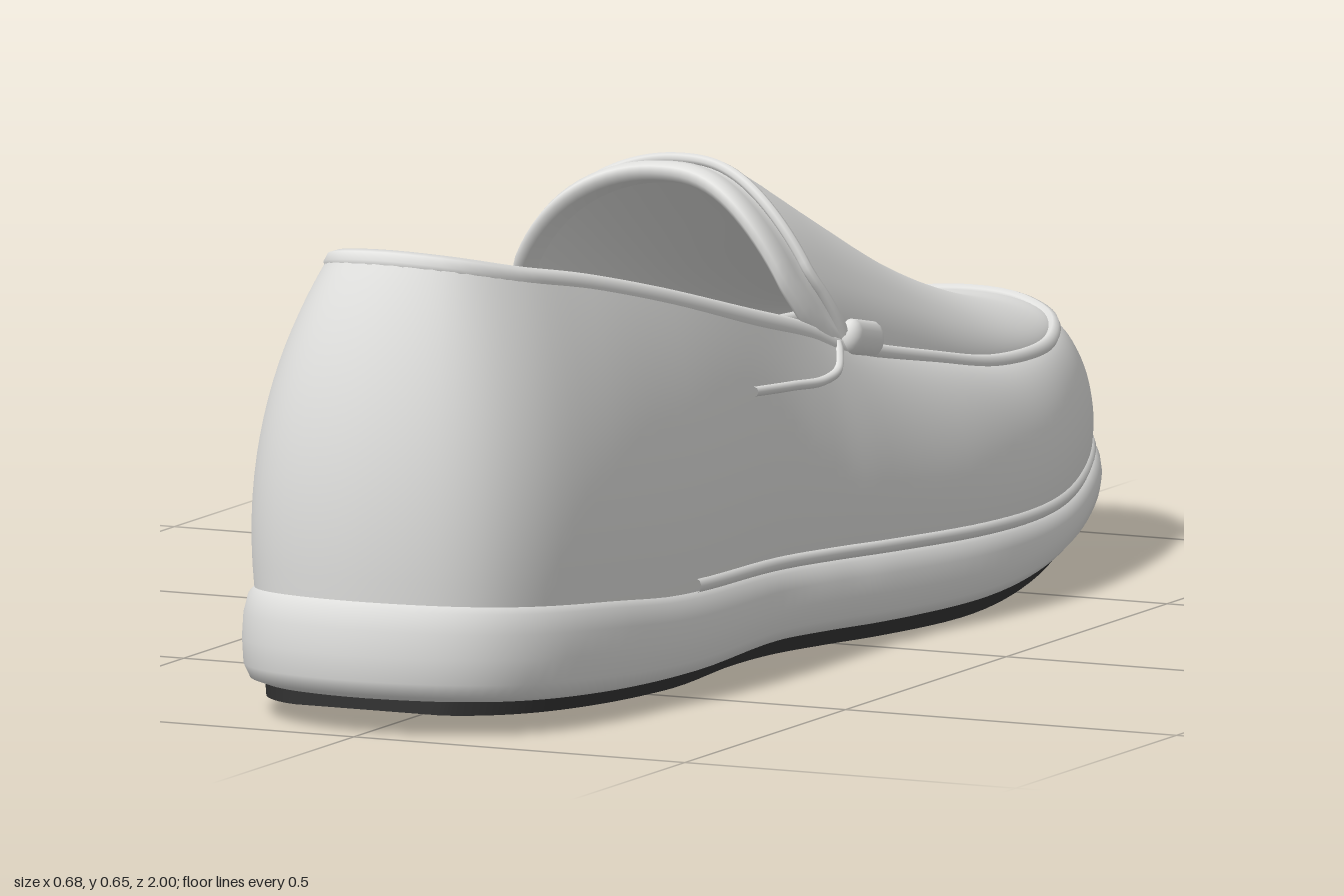
import * as THREE from 'three';
import { toCreasedNormals } from 'three/addons/utils/BufferGeometryUtils.js';

const V = (x, y, z) => new THREE.Vector3(x, y, z);
const { smoothstep, lerp, clamp } = THREE.MathUtils;
const upperMat = new THREE.MeshStandardMaterial({ color: 0xe2e2e0, side: THREE.DoubleSide });
upperMat.name = 'pale grey leather';
const outsoleMat = new THREE.MeshStandardMaterial({ color: 0x333333, side: THREE.DoubleSide });
outsoleMat.name = 'black rubber';

// Stations from heel (+z) along the +x side to the toe (-z):
// sole outline x, z, then the upper's rim x, y, z (collar behind, apron seam ahead)
const HALF = [
  [0, 1, 0, .645, .9], [.14, .965, .09, .637, .87], [.222, .87, .145, .615, .775],
  [.26, .7, .172, .585, .62], [.27, .45, .194, .538, .42], [.262, .2, .214, .48, .2],
  [.277, .05, .225, .44, .05], [.302, -.08, .235, .40, -.06], [.334, -.3, .24, .35, -.3],
  [.324, -.5, .236, .315, -.5], [.282, -.7, .215, .305, -.7], [.21, -.885, .155, .315, -.85],
  [.115, -.975, .078, .328, -.915], [0, -.998, 0, .332, -.93],
];
const STATIONS = HALF.concat(HALF.slice(1, -1).reverse().map(([a, b, x, y, z]) => [-a, b, -x, y, z]));
const closedCurve = pts => new THREE.CatmullRomCurve3(pts, true, 'catmullrom', 0.5);
const outline = closedCurve(STATIONS.map(s => V(s[0] - .007 * smoothstep(s[1], 0, .4), 0, s[1])));
const rim = closedCurve(STATIONS.map(s => V(s[2], s[3], s[4])));
const wrap = station => ((station / 26) % 1 + 1) % 1;

// Smooth (Hermite) lookup of heights along the length, tables ordered by falling z
function along(table) {
  const last = table.length - 1;
  const slope = i => {
    const a = table[Math.max(0, i - 1)], b = table[Math.min(last, i + 1)];
    return (b[1] - a[1]) / (b[0] - a[0]);
  };
  return z => {
    let i = 0;
    while (i < last - 1 && z < table[i + 1][0]) i++;
    const [z0, y0] = table[i], [z1, y1] = table[i + 1], d = z1 - z0;
    const t = clamp((z - z0) / d, 0, 1), u = 1 - t;
    return y0 * u * u * (1 + 2 * t) + y1 * t * t * (1 + 2 * u) + d * t * u * (u * slope(i) - t * slope(i + 1));
  };
}
const soleTop = along([[1, .19], [.7, .165], [.5, .145], [.2, .135], [-.3, .117], [-.6, .113], [-.85, .14], [-1, .18]]);
const soleBottom = along([[1, .05], [.5, .025], [.2, .028], [-.2, .02], [-.5, .035], [-.75, .068], [-1, .115]]);
const treadBottom = along([[.95, .03], [.5, .01], [.3, .013], [-.2, .001], [-.45, .012], [-.7, .043], [-.95, .095]]);
const vampTop = along([[0, .657], [-.04, .65], [-.2, .572], [-.4, .475], [-.6, .403], [-.8, .352], [-.93, .334]]);

// Skin over rows of points
function loft(rows, closed) {
  const n = rows[0].length, index = [];
  for (let r = 0; r < rows.length - 1; r++) {
    for (let c = 0; c < (closed ? n : n - 1); c++) {
      const a = r * n + c, b = r * n + (c + 1) % n;
      index.push(a, b, b + n, a, b + n, a + n);
    }
  }
  const g = new THREE.BufferGeometry().setFromPoints(rows.flat());
  g.setIndex(index);
  g.computeVertexNormals();
  return g;
}

// Point on the outline with its outward direction
function outlineAt(t) {
  const d = outline.getTangent(t);
  return [outline.getPoint(t), V(-d.z, 0, d.x)];
}
const N = 156;
const ring = fn => Array.from({ length: N }, (_, i) => fn(...outlineAt(i / N), i / N));
const range = (n, fn) => Array.from({ length: n + 1 }, (_, i) => fn(i / n));

// Outer wall, swelling from the sole and closing in to the rim
function wallPoint(t, v) {
  const [p, o] = outlineAt(t), q = rim.getPoint(t);
  const base = p.clone().addScaledVector(o, -.014).setY(soleTop(p.z) - .008);
  const fore = 1 - smoothstep(p.z, -.4, .2), h = q.y - base.y;
  const c1 = base.clone().addScaledVector(o, .02).setY(base.y + .45 * h);
  const c2 = base.clone().lerp(q, .36).setY(base.y + (.78 + .14 * fore) * h);
  return new THREE.CubicBezierCurve3(base, c1, c2, q).getPoint(v);
}

export function createModel() {
  const shoe = new THREE.Group();
  shoe.name = 'loafer';
  const add = (name, geometry, material = upperMat) => {
    const m = new THREE.Mesh(geometry, material);
    m.name = name;
    shoe.add(m);
    return m;
  };
  const tube = (name, pts, r) =>
    add(name, new THREE.TubeGeometry(new THREE.CatmullRomCurve3(pts), 90, r, 8, false));

  // Dark tread with blunt ends
  const treadRing = (inset, y) => ring((p, o) => {
    const q = p.clone().addScaledVector(o, -inset);
    q.z = clamp(q.z, -.94, .945);
    return q.setY(y(q.z));
  });
  const low = treadRing(.03, treadBottom);
  add('outsole', toCreasedNormals(loft([
    low.map(p => V(0, p.y, p.z)), low, treadRing(.028, z => soleBottom(z) + .012),
  ], true), 0.6), outsoleMat);

  // Rounded sole band: offset from outline, fraction of height
  const band = [[-.03, 0], [-.008, .06], [.001, .2], [.003, .45], [.001, .7], [-.006, .9], [-.018, 1], [-.045, 1.02]]
    .map(([off, f]) => ring((p, o) =>
      p.clone().addScaledVector(o, off).setY(lerp(soleBottom(p.z), soleTop(p.z), f))));
  add('sole', loft([band[0].map(p => V(0, p.y, p.z)), ...band], true));

  // Welt between sole and upper, ahead of the heel cup
  tube('welt', range(90, v => {
    const [p, o] = outlineAt(wrap(4 + 18 * v));
    return p.addScaledVector(o, -.016).setY(soleTop(p.z) + .004);
  }), .011);

  add('upperWall', loft(range(18, v => ring((p, o, t) => wallPoint(t, v))), true));

  // Lining and footbed
  const lining = range(10, v => ring((p, o, t) => {
    const q = rim.getPoint(t).addScaledVector(o, -.022);
    const foot = p.clone().addScaledVector(o, -.05).setY(soleTop(p.z) + .04);
    const mid = q.clone().lerp(foot, .7).setY((q.y + foot.y) / 2);
    return new THREE.QuadraticBezierCurve3(q, mid, foot).getPoint(v);
  }));
  add('lining', loft(lining, true));
  const footEdge = lining[lining.length - 1];
  add('footbed', loft([footEdge, footEdge.map(p => V(0, p.y - .01, p.z))], true));

  // Arched apron over the front of the foot, its rear edge scalloped
  const arch = s => Math.pow(Math.max(0, 1 - Math.pow(Math.abs(s), 2.4)), .6);
  const scallop = s => .055 * Math.sin(Math.PI * .6 * Math.abs(s)) ** 2 * Math.min(1, arch(s) * 2.2);
  const across = fn => range(48, u => fn(Math.sin((u - .5) * Math.PI)));
  const apronRow = st => across(s => {
    const e = rim.getPoint(wrap(st)), pull = Math.pow((13 - st) / 6, 5);
    return V(e.x * s, e.y + Math.max(.002, vampTop(e.z + .03 * pull) - e.y) * arch(s),
      e.z + pull * (.03 * arch(s) + scallop(s)));
  });
  const apron = range(40, v => apronRow(13 - 6 * v));
  add('apron', loft(apron));

  // Padded lip behind the apron's rear edge
  const edge = apron[apron.length - 1];
  const lipRow = (back, drop) => edge.map(p => {
    const k = smoothstep(p.y, .39, .47);
    return V(p.x * (1 - drop * 1.5 * k), p.y - drop * k, p.z + back * (.5 + .5 * k));
  });
  const lip = [[0, .01], [.012, .013], [.035, .004], [.058, .001], [.074, .006], [.078, .016], [.068, .026], [.03, .035]]
    .map(a => lipRow(...a));
  add('throatLip', loft(lip));
  tube('apronEdge', edge.map(p => V(p.x, p.y - .006, p.z)), .008);

  // Rolled collar and raised seam along the rim
  tube('collarRoll', range(70, v => {
    const t = wrap(-7 + 14 * v);
    return rim.getPoint(t).addScaledVector(outlineAt(t)[1], -.011).add(V(0, -.007, 0));
  }), .017);
  tube('apronSeam', range(70, v => rim.getPoint(wrap(7 + 12 * v))), .011);

  // Tabs where the apron meets the sides, each with a fold trailing behind it
  for (const side of [-1, 1]) {
    const word = side > 0 ? 'left' : 'right';
    const tab = add(word + 'Tab', new THREE.CapsuleGeometry(.022, .06, 6, 14));
    tab.rotation.x = Math.PI / 2 - .2;
    tab.scale.set(.8, 1, 1.15);
    tab.position.set(side * .237, .408, -.09);
    tube(word + 'Fold', [[4.8, .62], [5.4, .66], [6, .7], [6.4, .78], [6.65, .92], [6.75, 1]]
      .map(([st, v]) => wallPoint(wrap(side * st), v)), .007);
  }
  return shoe;
}
